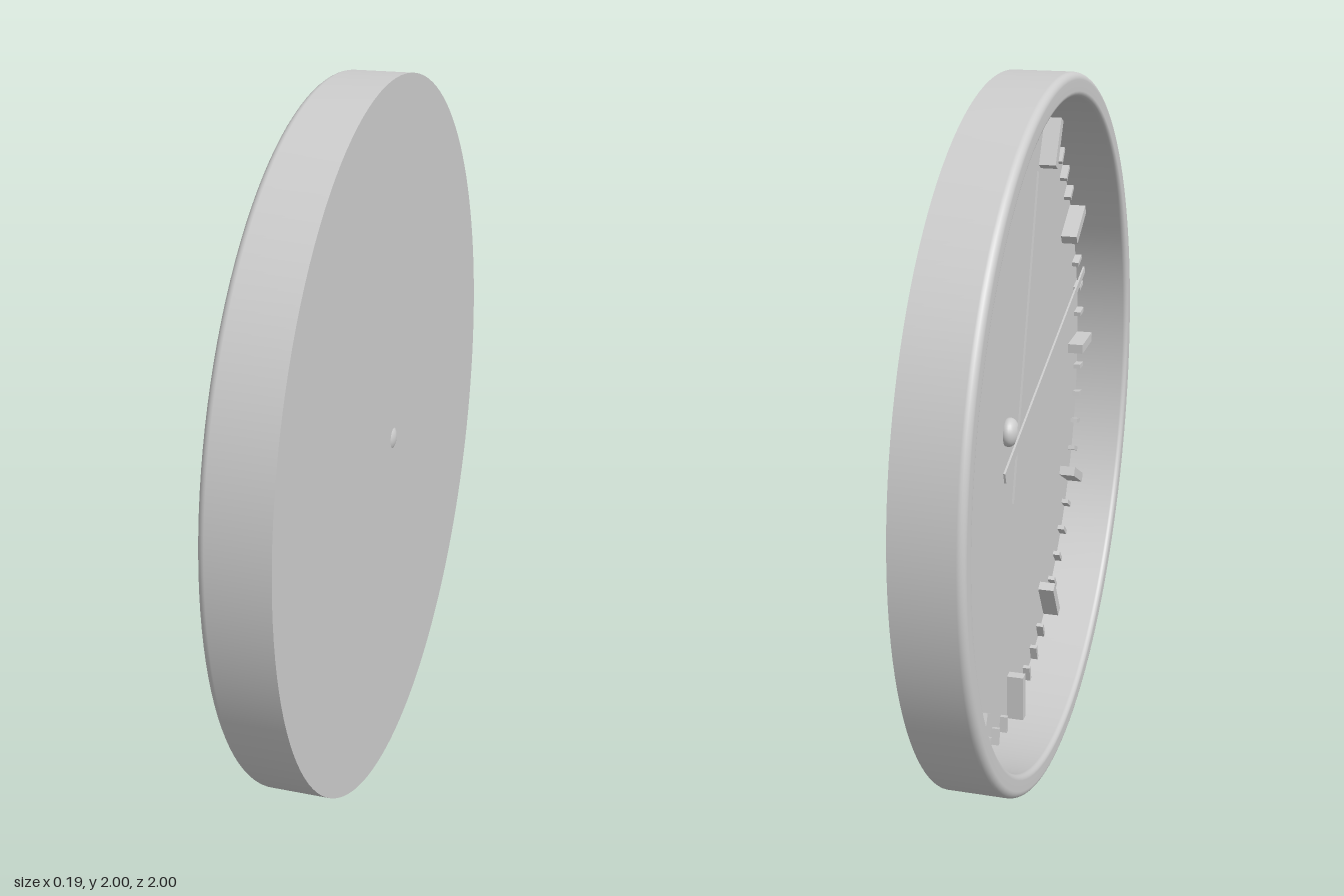
import * as THREE from 'three';

export function createModel() {
  const model = new THREE.Group();
  model.name = 'wallClock';
  const grey = new THREE.MeshStandardMaterial({ color: 0xcccccc });
  grey.name = 'plainGrey';

  // The clock is built facing +z about the origin, then turned to face -x.
  const clock = new THREE.Group();
  clock.name = 'clock';
  clock.rotation.y = -Math.PI / 2;
  clock.position.y = 1;
  model.add(clock);

  const add = (name, geometry, parent = clock) => {
    const mesh = new THREE.Mesh(geometry, grey);
    mesh.name = name;
    parent.add(mesh);
    return mesh;
  };

  const BACK = -0.087, DIAL = -0.075, FRONT = 0.095, INNER = 0.935;

  // Case, rim and dial as one turned profile; repeated points keep edges sharp
  const profile = [];
  const point = (r, z) => profile.push(new THREE.Vector2(r, z));
  const sharp = (r, z) => { point(r, z); point(r, z); };
  const fillet = (r, z, radius, from, to) => {
    for (let i = 0; i <= 6; i++) {
      const a = from + (to - from) * i / 6;
      point(r + radius * Math.cos(a), z + radius * Math.sin(a));
    }
  };
  point(0, BACK);
  sharp(1, BACK);
  fillet(0.98, FRONT - 0.02, 0.02, 0, Math.PI / 2);
  fillet(INNER + 0.015, FRONT - 0.015, 0.015, Math.PI / 2, Math.PI);
  sharp(INNER, DIAL);
  point(0, DIAL);
  const body = new THREE.LatheGeometry(profile, 128);
  body.rotateX(Math.PI / 2);
  add('caseAndDial', body);

  // Hour and minute marks around the dial
  const marks = new THREE.Group();
  marks.name = 'marks';
  clock.add(marks);
  for (let i = 0; i < 60; i++) {
    const hour = i % 5 === 0;
    const [w, l, d] = hour ? [0.03, 0.145, 0.05] : [0.014, 0.05, 0.022];
    const mark = new THREE.BoxGeometry(w, l, d);
    mark.translate(0, 0.93 - l / 2, DIAL + d / 2);
    add(hour ? 'hourMark' : 'minuteMark', mark, marks).rotation.z = -i * Math.PI / 30;
  }

  // Slim tapered hands with a short tail
  const hand = (name, length, angle, z) => {
    const tail = -0.2;
    const shape = new THREE.Shape([
      new THREE.Vector2(-0.017, tail), new THREE.Vector2(0.017, tail),
      new THREE.Vector2(0.011, length), new THREE.Vector2(-0.011, length),
    ]);
    const geometry = new THREE.ExtrudeGeometry(shape, { depth: 0.006, bevelEnabled: false });
    geometry.translate(0, 0, z);
    add(name, geometry).rotation.z = -THREE.MathUtils.degToRad(angle);
  };
  hand('hourHand', 0.735, 18, -0.04);
  hand('minuteHand', 0.855, 72, -0.033);

  // Rounded hub that passes through the back
  const hub = new THREE.SphereGeometry(1, 24, 16);
  hub.scale(0.042, 0.042, 0.028);
  hub.translate(0, 0, -0.067);
  add('hub', hub);

  return model;
}
